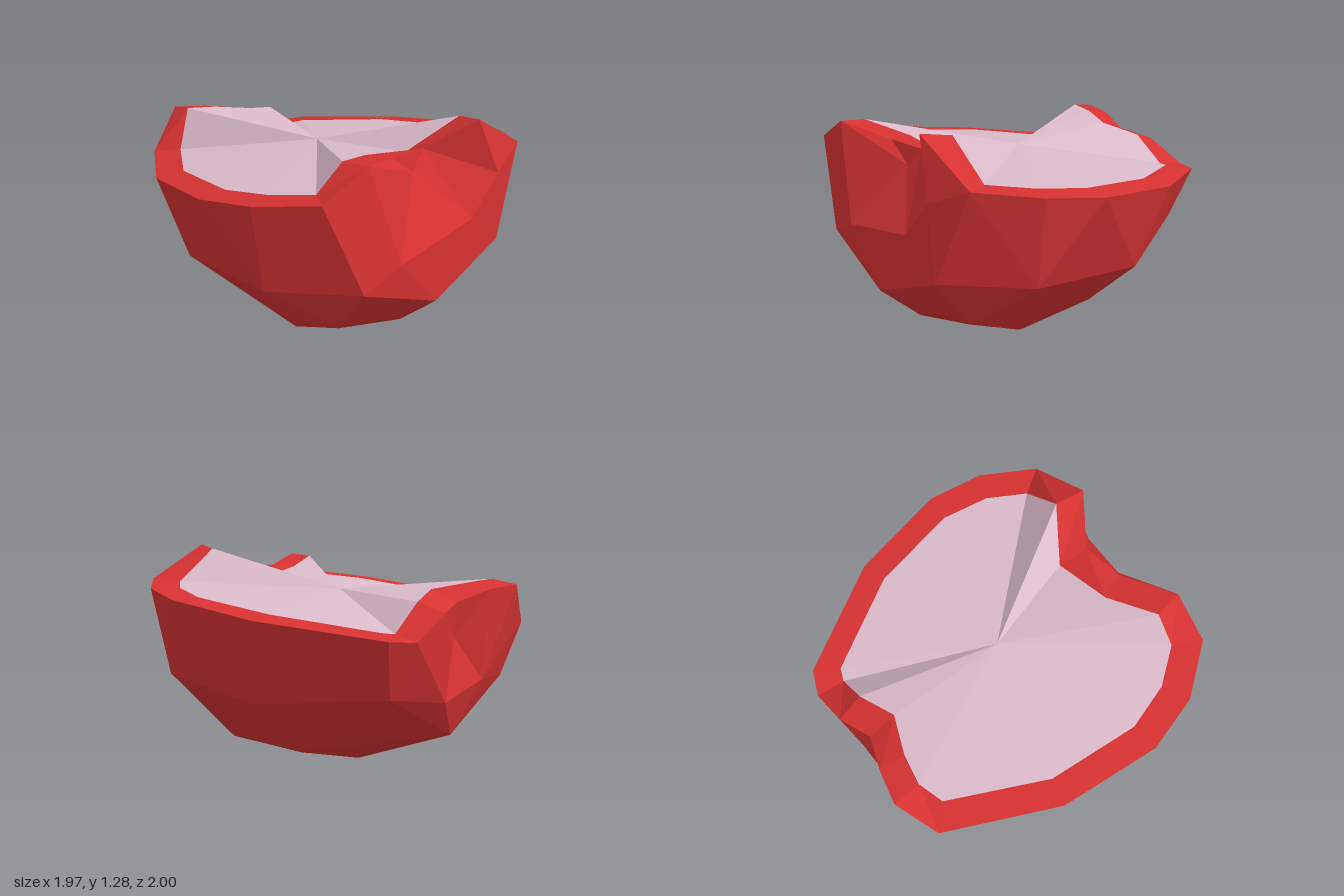
import * as THREE from 'three';

// Half points: lower case is the front half, upper case the mirrored back half.
const half = {
  a0: [0.89, 1.075, 0.72], a1: [0.61, 1.037, 0.92], a2: [0.29, 0.994, 1], a3: [-0.28, 0.917, 0.92], a4: [-0.89, 0.837, 0.6],
  b0: [0.96, 0.565, 0.51], b1: [0.57, 0.54, 0.83], b2: [-0.15, 0.46, 0.82], b3: [-0.82, 0.53, 0.5],
  c0: [0.98, 0.36, 0], c1: [0.72, 0.25, 0.46], c2: [0.41, 0.13, 0.5], c3: [-0.15, 0.13, 0.47], c4: [-0.83, 0.265, 0],
  d0: [0.73, 0.13, 0], d1: [0.42, 0, 0], d2: [-0.16, 0, 0],
};

// Points around the stem hollow (f, n, p) and the base hollow (g, h, t, q).
const points = {
  f1: [0.91, 1.21, 0.455], f2: [0.98, 0.665, 0.28], f3: [0.965, 0.755, -0.27], f4: [0.96, 0.97, -0.47], f5: [0.905, 1.28, -0.34],
  n1: [0.77, 1.14, 0.15], n2: [0.74, 1.13, -0.1], p: [0.77, 1.03, 0],
  g1: [-0.985, 1.07, 0.375], g2: [-0.955, 0.825, -0.46],
  h1: [-0.94, 1.05, 0.18], h2: [-0.87, 0.99, -0.02], h3: [-0.94, 0.95, -0.22],
  t1: [-0.915, 0.48, -0.17], t2: [-0.915, 0.56, 0.17], q: [-0.84, 0.8, 0],
};
for (const [name, [x, y, z]] of Object.entries(half)) {
  points[name] = [x, y, z];
  points[name.toUpperCase()] = [x, y, -z];
}

// Flesh outline, each point paired with a rim point.
const inner = {
  a0: [0.74, 1.06, 0.63], a1: [0.54, 1.035, 0.77], a2: [0.28, 1, 0.84], a3: [-0.24, 0.935, 0.77], a4: [-0.77, 0.857, 0.48],
  g1: [-0.825, 1.095, 0.375], h1: [-0.79, 1.08, 0.2], h2: [-0.7, 1.05, -0.02], h3: [-0.78, 1, -0.24], g2: [-0.79, 0.85, -0.43],
  A4: [-0.76, 0.86, -0.5], A3: [-0.24, 0.935, -0.77], A2: [0.27, 1, -0.84], A1: [0.54, 1.035, -0.77], A0: [0.74, 1.06, -0.63],
  f5: [0.74, 1.255, -0.38], n2: [0.58, 1.06, -0.14], n1: [0.62, 1.13, 0.2], f1: [0.75, 1.195, 0.475],
};

const sideFaces = 'a0 a1 b1,a0 b1 b0,a1 a2 b1,a2 b2 b1,a2 a3 b2,a3 a4 b3,a3 b3 b2,b0 b1 c1,b1 c2 c1,b1 b2 c2,' +
  'b2 c3 c2,b2 b3 c3,b3 c4 c3,c0 b0 c1,c0 c1 d0,c1 c2 d1,c1 d1 d0,c2 c3 d2,c2 d2 d1,c3 c4 d2';
const stemFaces = 'a0 f1 f2,a0 f2 b0,b0 f2 c0,c0 f2 f3,c0 f3 B0,B0 f3 f4,B0 f4 A0,A0 f4 f5,' +
  'f1 n1 p,f1 p f2,f2 p f3,p n1 n2,f3 p n2,f3 n2 f4,f4 n2 f5';
const baseFaces = 'a4 g1 t2,a4 t2 b3,b3 t2 c4,t2 t1 c4,t1 B3 c4,t1 g2 B3,g2 A4 B3,' +
  'g1 h1 t2,h1 q t2,t2 q t1,t1 q h3,t1 h3 g2,q h1 h2,q h2 h3';

// Builds a flat-shaded mesh, turning every triangle away from the given core point.
function facets(name, triangles, material, core) {
  const data = [];
  const normal = new THREE.Vector3();
  for (const tri of triangles) {
    const [a, b, c] = tri.map((p) => new THREE.Vector3(...p));
    normal.crossVectors(b.clone().sub(a), c.clone().sub(a));
    const middle = a.clone().add(b).add(c).divideScalar(3).sub(core);
    const order = normal.dot(middle) < 0 ? [a, c, b] : [a, b, c];
    order.forEach((v) => data.push(v.x, v.y, v.z));
  }
  const geometry = new THREE.BufferGeometry();
  geometry.setAttribute('position', new THREE.Float32BufferAttribute(data, 3));
  geometry.computeVertexNormals();
  const mesh = new THREE.Mesh(geometry, material);
  mesh.name = name;
  return mesh;
}

const parse = (text) => text.split(',').map((face) => face.split(' ').map((key) => points[key]));

export function createModel() {
  const group = new THREE.Group();
  group.name = 'halfFruit';
  const options = { flatShading: true, side: THREE.DoubleSide };
  const red = new THREE.MeshStandardMaterial({ color: 0xd63232, ...options });
  red.name = 'red skin';
  const pink = new THREE.MeshStandardMaterial({ color: 0xdcbaca, ...options });
  pink.name = 'pale flesh';

  // Skin: two mirrored sides and the two hollowed ends
  const core = new THREE.Vector3(0, 0.65, 0);
  group.add(facets('frontSkin', parse(sideFaces), red, core));
  group.add(facets('backSkin', parse(sideFaces.toUpperCase()), red, core));
  group.add(facets('stemEnd', parse(stemFaces), red, core));
  group.add(facets('baseEnd', parse(baseFaces), red, core));

  // Cut face: red border around a fan of flesh
  const below = new THREE.Vector3(0, -20, 0);
  const centre = [0, 1.02, 0];
  const keys = Object.keys(inner);
  const border = [];
  const fan = [];
  keys.forEach((key, i) => {
    const next = keys[(i + 1) % keys.length];
    border.push([points[key], points[next], inner[next]], [points[key], inner[next], inner[key]]);
    fan.push([inner[key], inner[next], centre]);
  });
  group.add(facets('skinBorder', border, red, below));
  group.add(facets('flesh', fan, pink, below));
  return group;
}
